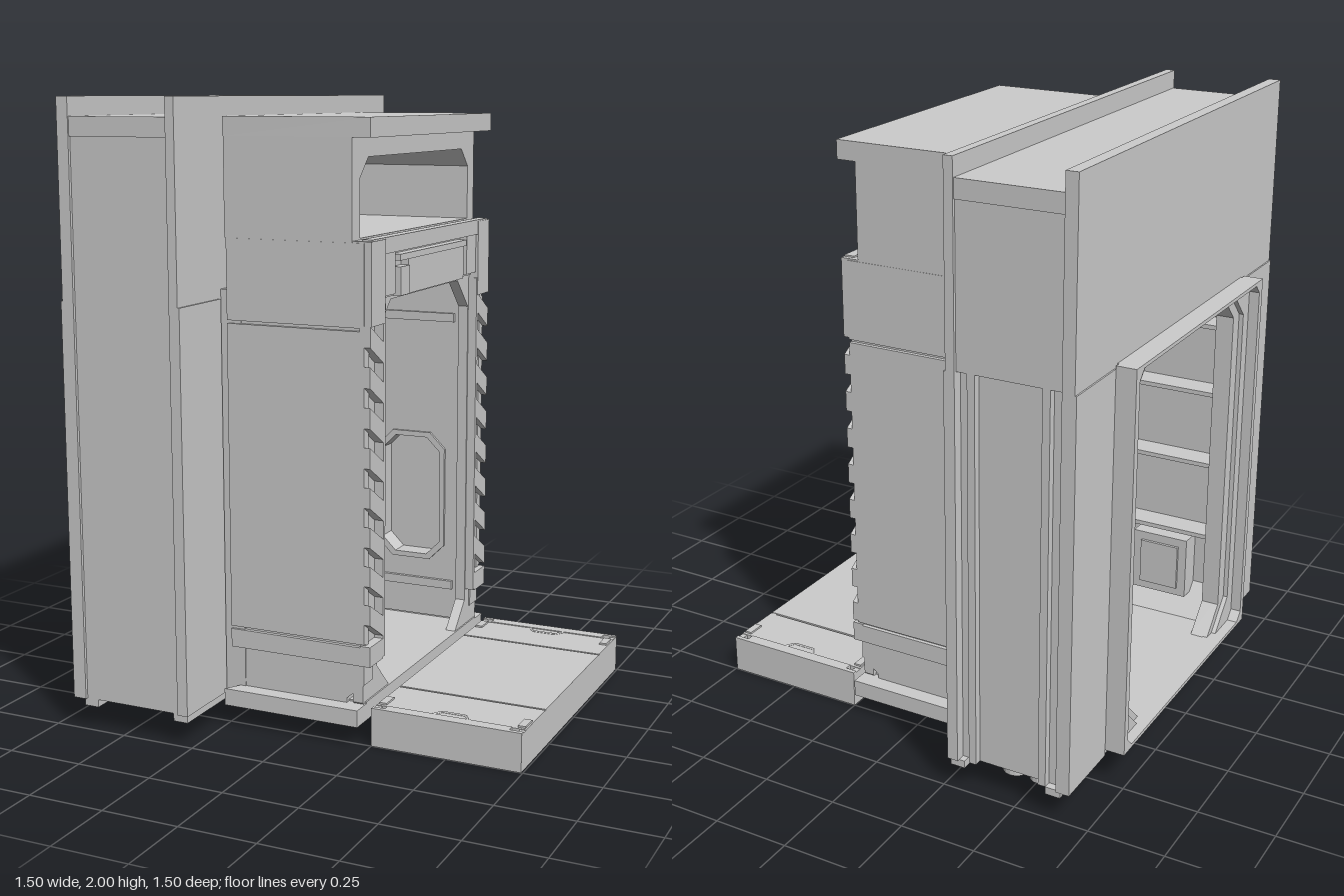
import * as THREE from 'three';

const grey = new THREE.MeshStandardMaterial({ color: 0xcccccc, flatShading: true, side: THREE.DoubleSide });

function add(group, name, geometry) {
  const mesh = new THREE.Mesh(geometry, grey);
  mesh.name = name;
  group.add(mesh);
  return mesh;
}

// Box from its limits on each axis
function box(group, name, x0, x1, y0, y1, z0, z1) {
  const g = new THREE.BoxGeometry(x1 - x0, y1 - y0, z1 - z0);
  return add(group, name, g.translate((x0 + x1) / 2, (y0 + y1) / 2, (z0 + z1) / 2));
}

// Rectangle with cut corners; ct and cb are the top and bottom cuts
function octagon(w, y0, y1, ct = 0, cb = ct) {
  return [[-w + cb, y0], [w - cb, y0], [w, y0 + cb], [w, y1 - ct],
    [w - ct, y1], [-w + ct, y1], [-w, y1 - ct], [-w, y0 + cb]]
    .map(([a, b]) => new THREE.Vector2(a, b));
}

// Outline in the z-y plane, extruded from x0 to x1
function slab(group, name, x0, x1, outline, ...holes) {
  const shape = new THREE.Shape(outline);
  holes.forEach(h => shape.holes.push(new THREE.Path(h)));
  const g = new THREE.ExtrudeGeometry(shape, { depth: x1 - x0, bevelEnabled: false });
  return add(group, name, g.rotateY(Math.PI / 2).translate(x0, 0, 0));
}

// Outline in the x-y plane, extruded from z0 to z1
function sidePanel(group, name, z0, z1, points, hole) {
  const shape = new THREE.Shape(points.map(p => new THREE.Vector2(...p)));
  if (hole) shape.holes.push(new THREE.Path(hole));
  const g = new THREE.ExtrudeGeometry(shape, { depth: z1 - z0, bevelEnabled: false });
  return add(group, name, g.translate(0, 0, z0));
}

// Run a builder for both sides; span mirrors a range of z
function bothSides(build) {
  for (const s of [-1, 1]) build((a, b) => s > 0 ? [a, b] : [-b, -a], s);
}

const opening = octagon(0.38, 0.13, 1.38, 0.1, 0.09);

function buildWall() {
  const g = new THREE.Group();
  g.name = 'wallSection';
  slab(g, 'wallCore', -0.64, -0.3, octagon(0.715, 0.1, 1.94), octagon(0.49, 0.13, 1.42, 0.1));
  for (const [x0, x1] of [[-0.68, -0.64], [-0.3, -0.27]])
    slab(g, 'wallFacing', x0, x1, octagon(0.75, 0.1, 2), opening);
  bothSides(span => {
    box(g, 'lowerFacing', -0.272, -0.264, 0.1, 1.38, ...span(0.5, 0.75));
    box(g, 'lowerFacing', -0.685, -0.678, 0.1, 1.38, ...span(0.5, 0.75));
    box(g, 'upperEndPanel', -0.645, -0.295, 1.38, 1.88, ...span(0.7, 0.74));
    box(g, 'endCap', -0.655, -0.285, 1.88, 1.94, ...span(0.7, 0.745));
    // Storage niche inside the wall thickness
    for (const y of [0.45, 0.72, 0.98, 1.22]) box(g, 'shelf', -0.64, -0.3, y, y + 0.015, ...span(0.4, 0.49));
    box(g, 'locker', -0.56, -0.36, 0.2, 0.42, ...span(0.41, 0.49));
    box(g, 'lockerDoor', -0.53, -0.39, 0.23, 0.39, ...span(0.4, 0.41));
  });
  box(g, 'lowerEndPanel', -0.645, -0.295, 0.1, 1.38, 0.7, 0.74);
  for (const x of [-0.6, -0.36]) box(g, 'endChannel', x, x + 0.025, 0.1, 1.38, -0.74, -0.71);
  // Rails and stub pipes under the wall
  for (const x of [-0.65, -0.32]) box(g, 'bottomRail', x, x + 0.05, 0.075, 0.1, -0.74, 0.74);
  for (const x of [-0.52, -0.425]) {
    const ring = new THREE.Shape().absarc(0, 0, 0.044, 0, Math.PI * 2);
    ring.holes.push(new THREE.Path().absarc(0, 0, 0.03, 0, Math.PI * 2));
    const pipe = new THREE.ExtrudeGeometry(ring, { depth: 0.075, bevelEnabled: false, curveSegments: 8 });
    add(g, 'stubPipe', pipe.rotateX(-Math.PI / 2).translate(x, 0.025, -0.595));
  }
  return g;
}

function buildRearFrame() {
  const g = new THREE.Group();
  g.name = 'rearFrame';
  slab(g, 'outerRim', -0.75, -0.685, octagon(0.5, 0.12, 1.39), octagon(0.475, 0.132, 1.378, 0.03));
  slab(g, 'innerRim', -0.715, -0.685, octagon(0.485, 0.122, 1.385), octagon(0.43, 0.131, 1.38, 0.1));
  slab(g, 'throat', -0.7, -0.68, octagon(0.48, 0.12, 1.39), opening);
  return g;
}

// Inner side wall with a recessed window
function buildInnerWall(g, span) {
  const outline = (w, h, cut) => octagon(w, 0.585 - h, 0.585 + h, cut);
  const hole = outline(0.11, 0.215, 0.05);
  const rim = outline(0.128, 0.233, 0.056).map(p => [p.x, p.y]);
  sidePanel(g, 'windowPanel', ...span(0.4, 0.42), [[-0.2, 0.14], [0.18, 0.14], [0.18, 1.39], [-0.2, 1.39]], hole);
  sidePanel(g, 'windowRim', ...span(0.39, 0.4), rim, hole);
  sidePanel(g, 'windowSleeve', ...span(0.42, 0.465), rim, hole);
  box(g, 'panelTopRail', -0.17, 0.16, 1.22, 1.25, ...span(0.387, 0.4));
  box(g, 'panelFootRail', -0.17, 0.16, 0.25, 0.28, ...span(0.387, 0.4));
}

function buildCorridor() {
  const g = new THREE.Group();
  g.name = 'corridor';
  slab(g, 'rearCollar', -0.27, -0.235, octagon(0.49, 0.1, 1.41), opening);
  slab(g, 'innerRing', -0.235, -0.2, octagon(0.49, 0.11, 1.57), opening);
  slab(g, 'doorFrame', 0.18, 0.215, octagon(0.485, 0.11, 1.57, 0.02), opening);
  bothSides((span, s) => {
    // Outer skin in three panels with seams
    for (const [y0, y1] of [[0.255, 0.315], [0.325, 1.305], [1.315, 1.57]])
      box(g, 'outerSkin', -0.245, 0.225, y0, y1, ...span(0.48, 0.498));
    box(g, 'skinBacking', -0.245, 0.225, 0.25, 1.57, ...span(0.465, 0.485));
    // Base cheek with sloping front corner
    sidePanel(g, 'baseCheek', ...span(0.42, 0.487),
      [[-0.27, 0.08], [0.16, 0.08], [0.16, 0.14], [0.22, 0.19], [0.22, 0.26], [-0.27, 0.26]]);
    // Side step with a mitred end
    const step = new THREE.Shape([[-0.25, 0.54], [0.22, 0.54], [0.22, 0.46], [-0.2, 0.46]]
      .map(([x, z]) => new THREE.Vector2(x, -z * s)));
    const sg = new THREE.ExtrudeGeometry(step, { depth: 0.055, bevelEnabled: false });
    add(g, 'sideStep', sg.rotateX(-Math.PI / 2).translate(0, 0.07, 0));
    // Door post trims, header corners and slanted teeth
    box(g, 'postEdge', 0.21, 0.245, 0.26, 1.38, ...span(0.385, 0.4));
    box(g, 'postFoot', 0.21, 0.245, 0.255, 0.32, ...span(0.4, 0.498));
    box(g, 'headerCorner', 0.21, 0.247, 1.32, 1.575, ...span(0.39, 0.495));
    box(g, 'headerBracket', 0.21, 0.24, 1.4, 1.56, ...span(0.3, 0.385));
    for (let i = 0; i < 8; i++) {
      const y = 0.33 + i * 0.124, [z0, z1] = span(0.4, 0.498);
      slab(g, 'slantedTooth', 0.21, 0.245,
        [[-z1, y + 0.06], [-z0, y], [-z0, y + 0.065], [-z1, y + 0.125]].map(p => new THREE.Vector2(...p)));
    }
    buildInnerWall(g, span);
  });
  // Header beam and its control box
  box(g, 'headerBeam', 0.21, 0.245, 1.53, 1.58, -0.48, 0.48);
  box(g, 'headerBox', 0.1, 0.24, 1.39, 1.5, -0.27, 0.2);
  box(g, 'headerPlate', 0.2, 0.245, 1.39, 1.48, 0.2, 0.27);
  box(g, 'headerLip', 0.21, 0.247, 1.5, 1.52, -0.28, 0.28);
  // Ceiling and floor
  box(g, 'ceiling', -0.24, 0.22, 1.39, 1.42, -0.47, 0.47);
  box(g, 'roof', -0.245, 0.22, 1.55, 1.575, -0.495, 0.495);
  box(g, 'floor', -0.27, 0.22, 0.105, 0.13, -0.47, 0.47);
  for (const x of [-0.25, 0.18]) box(g, 'floorBeam', x, x + 0.04, 0.07, 0.11, -0.5, 0.5);
  box(g, 'doorHandle', 0.18, 0.23, 0.72, 0.82, 0.36, 0.39);
  return g;
}

function buildRoofUnit() {
  const g = new THREE.Group();
  g.name = 'roofUnit';
  const arch = octagon(0.44, 1.58, 1.82, 0.06, 0);
  slab(g, 'archShell', -0.23, 0.185, octagon(0.497, 1.57, 1.88), arch);
  slab(g, 'archBack', -0.25, -0.23, octagon(0.497, 1.57, 1.88));
  box(g, 'capSlab', -0.25, 0.247, 1.88, 1.94, -0.5, 0.5);
  return g;
}

function buildRamp() {
  const g = new THREE.Group();
  g.name = 'ramp';
  // Deck in three planks over a hollow underside
  for (const [z0, z1] of [[-0.46, -0.292], [-0.284, 0.274], [0.282, 0.46]])
    box(g, 'deckPlank', 0.25, 0.745, 0.1, 0.122, z0, z1);
  box(g, 'deckBacking', 0.255, 0.74, 0.085, 0.105, -0.49, 0.49);
  for (const x of [0.25, 0.725]) box(g, 'endSkirt', x, x + 0.02, 0, 0.12, -0.495, 0.495);
  bothSides((span, s) => {
    box(g, 'sideSkirt', 0.25, 0.745, 0, 0.125, ...span(0.485, 0.5));
    box(g, 'sideRail', 0.29, 0.7, 0.1, 0.125, ...span(0.46, 0.485));
    for (const x of [0.255, 0.715]) box(g, 'cornerLatch', x, x + 0.025, 0.11, 0.128, ...span(0.39, 0.45));
    // Bent handle
    const path = new THREE.CurvePath();
    const pts = [[0.44, 0.46], [0.46, 0.43], [0.54, 0.43], [0.56, 0.46]]
      .map(([x, z]) => new THREE.Vector3(x, 0.12, z * s));
    for (let i = 0; i < 3; i++) path.add(new THREE.LineCurve3(pts[i], pts[i + 1]));
    add(g, 'rampHandle', new THREE.TubeGeometry(path, 18, 0.006, 6));
  });
  return g;
}

export function createModel() {
  const model = new THREE.Group();
  model.name = 'doorwayModule';
  model.add(buildWall(), buildRearFrame(), buildCorridor(), buildRoofUnit(), buildRamp());
  return model;
}
